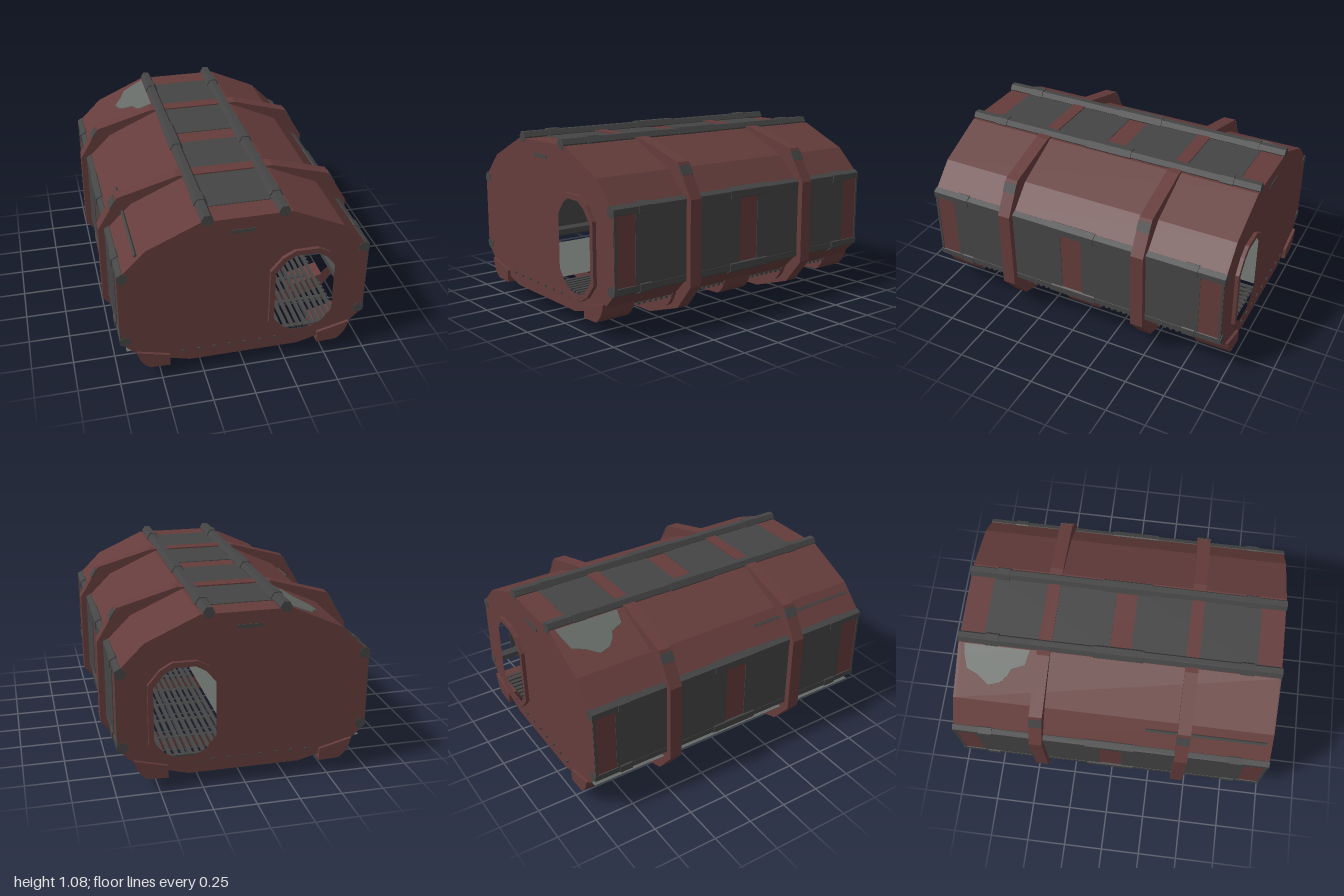
import * as THREE from 'three';

const mat = (name, color, side = THREE.FrontSide) => {
  const m = new THREE.MeshStandardMaterial({ color, side });
  m.name = name;
  return m;
};

// Mirror a half outline (top centre to bottom centre) into a closed one
const mirrored = half => [...half, ...half.slice().reverse().map(([x, y]) => [-x, y])];
const toPath = (pts, Type = THREE.Shape) => new Type(pts.map(([x, y]) => new THREE.Vector2(x, y)));
const inset = (pts, k, cy = 0.56) => pts.map(([x, y]) => [x * k, cy + (y - cy) * k]);

const HULL = mirrored([[0.26, 1.04], [0.57, 0.9], [0.73, 0.74], [0.73, 0.28], [0.62, 0.17], [0.33, 0.09]]);
const RIB = mirrored([[0.29, 1.052], [0.65, 0.95], [0.77, 0.75], [0.77, 0.24], [0.65, 0.09], [0.38, 0]]);

// Doorway outline: straight jambs with faceted round ends
function doorway(grow) {
  const quarter = [[0.06, 0.275], [0.12, 0.24], [0.18, 0.165]];
  const right = [...quarter, ...quarter.slice().reverse().map(([x, y]) => [x, -y])];
  return mirrored(right).map(([x, y]) => [0.35 + x * (1 + grow / 0.18), 0.478 + y * (1 + grow / 0.275)]);
}

export function createModel() {
  const brown = mat('oxide brown', 0x643c3b);
  const dark = mat('dark grey', 0x444544);
  const light = mat('light grey', 0x656a66, THREE.DoubleSide);
  const group = new THREE.Group();

  const add = (name, geo, material, x = 0, y = 0, z = 0) => {
    const m = new THREE.Mesh(geo, material);
    m.name = name;
    m.position.set(x, y, z);
    group.add(m);
    return m;
  };
  const box = (name, material, w, h, d, x, y, z) => add(name, new THREE.BoxGeometry(w, h, d), material, x, y, z);
  const extrude = (name, material, outer, hole, depth, z) => {
    const s = toPath(outer);
    if (hole) s.holes.push(toPath(hole, THREE.Path));
    return add(name, new THREE.ExtrudeGeometry(s, { depth, bevelEnabled: false }), material, 0, 0, z);
  };

  // Hollow hull, end walls with doorways, raised door frames
  extrude('hullShell', brown, HULL, inset(HULL, 0.995), 1.94, -0.97);
  for (const s of [1, -1]) {
    extrude('endWall', brown, HULL, doorway(0.002), 0.02, s * 0.967 - 0.01);
    extrude('doorFrame', brown, doorway(0.03), doorway(0), 0.05, s * 0.975 - 0.025);
    box('endLabelPlate', dark, 0.14, 0.022, 0.006, -0.02, 0.955, s * 0.978);
    for (let i = 0; i < 9; i++) box('endBolt', dark, 0.016, 0.013, 0.012, (i - 4) * 0.0925, 0.165, s * 0.979);
  }

  // Two structural ribs around the hull
  for (const z of [0.4, -0.495]) {
    extrude('rib', brown, RIB, inset(HULL, 0.997), 0.08, z);
    for (const s of [1, -1]) {
      const clip = box('ribClip', dark, 0.008, 0.06, 0.082, s * 0.677, 0.905, z + 0.04);
      clip.rotation.z = s * 0.54;
    }
  }

  // Dark cladding on the roof and sides, split by a brown band
  for (const s of [1, -1]) {
    box('roofPanel', dark, 0.4, 0.009, 0.765, -0.005, 1.04, s * 0.447);
    for (const side of [1, -1]) {
      box('sidePanel', dark, 0.009, 0.46, 0.765, side * 0.729, 0.505, s * 0.452);
      box('cornerTrim', dark, 0.02, 0.42, 0.015, side * 0.724, 0.51, s * 0.968);
    }
  }
  const rail = box('roofSlopeBar', dark, 0.016, 0.016, 0.74, -0.62, 0.856, 0.575);
  rail.rotation.z = Math.PI / 4;

  // Hexagonal pipes with sleeves
  const hexRod = (name, r, len, x, y, z, turn) => {
    const geo = new THREE.CylinderGeometry(r, r, len, 6).toNonIndexed();
    geo.computeVertexNormals();
    geo.rotateY(turn).rotateX(Math.PI / 2);
    add(name, geo, dark, x, y, z);
  };
  const pipes = [[-0.225, 1.048, Math.PI / 6], [0.212, 1.048, Math.PI / 6]];
  for (const s of [1, -1]) for (const y of [0.735, 0.293]) pipes.push([s * 0.705, y, 0]);
  for (const [x, y, turn] of pipes) {
    hexRod('pipe', 0.035, 1.96, x, y, 0, turn);
    hexRod('pipeSleeve', 0.042, 0.3, x, y, -0.005, turn);
    for (const z of [0.77, -0.775]) hexRod('pipeCollar', 0.042, 0.08, x, y, z, turn);
  }

  // Bumpers and bolt rows along the lower edges
  for (const s of [1, -1]) {
    const section = new THREE.Shape();
    section.moveTo(s * 0.45, 0.16);
    section.lineTo(s * 0.645, 0.21);
    section.quadraticCurveTo(s * 0.625, 0.12, s * 0.57, 0.09);
    section.lineTo(s * 0.45, 0.085);
    for (const [z0, z1] of [[0.78, 0.995], [0.37, 0.505], [-0.11, 0.1], [-0.52, -0.385], [-0.995, -0.78]]) {
      const geo = new THREE.ExtrudeGeometry(section, { depth: z1 - z0, bevelEnabled: false, curveSegments: 5 });
      add('bumper', geo, brown, 0, 0, z0);
    }
    for (let i = 0; i < 48; i++) box('edgeBolt', dark, 0.018, 0.014, 0.02, s * 0.618, 0.165, -0.94 + i * 0.04);
  }

  // Interior deck that reaches out past the left skirt, with a slatted walkway
  add('deck', new THREE.PlaneGeometry(0.75, 1.94).rotateX(-Math.PI / 2), light, -0.325, 0.215, 0);
  for (let i = 0; i < 14; i++) box('walkwaySlat', dark, 0.022, 0.012, 1.9, 0.07 + i * 0.04, 0.192, 0);
  for (let i = 0; i < 9; i++) box('walkwayCrossbar', dark, 0.54, 0.01, 0.025, 0.33, 0.182, -0.92 + i * 0.23);

  // Worn patches laid on the sloping skin
  const patch = (name, pts, height) => {
    const geo = new THREE.ExtrudeGeometry(toPath(pts), { depth: 0.008, bevelEnabled: false });
    geo.rotateX(Math.PI / 2);
    const p = geo.attributes.position;
    for (let i = 0; i < p.count; i++) p.setY(i, p.getY(i) + height(p.getX(i)));
    geo.computeVertexNormals();
    add(name, geo, light);
  };
  patch('roofPatch', [[-0.265, -0.94], [-0.33, -0.93], [-0.4, -0.91], [-0.43, -0.84], [-0.48, -0.77], [-0.46, -0.7],
    [-0.42, -0.66], [-0.38, -0.64], [-0.35, -0.56], [-0.265, -0.54]], x => 1.044 + (x + 0.26) * 0.4516);
  patch('bellyPatch', [[-0.15, -0.86], [-0.2, -0.93], [-0.28, -0.94], [-0.32, -0.87], [-0.31, -0.76],
    [-0.25, -0.71], [-0.18, -0.76]], () => 0.094);

  return group;
}
